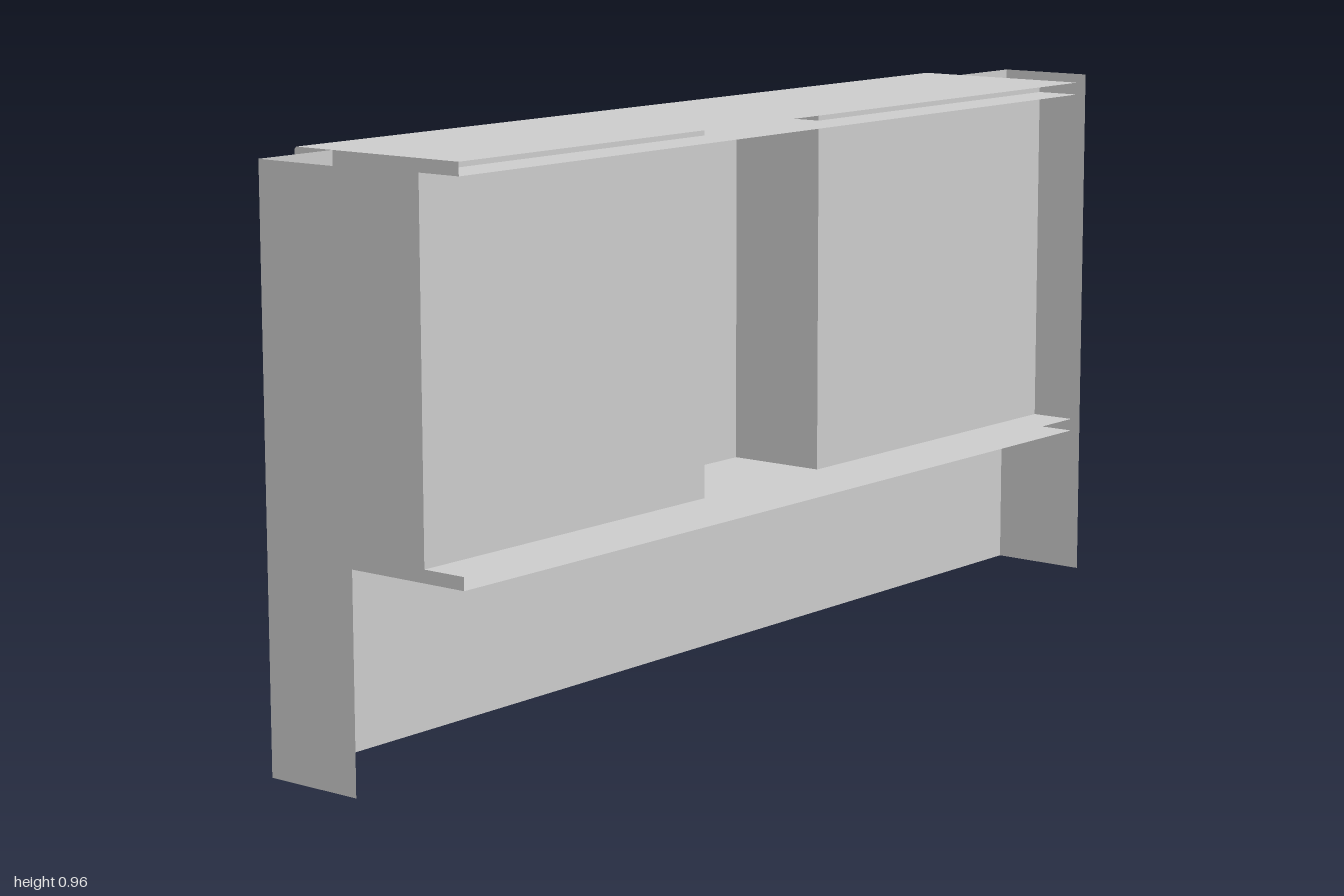
import * as THREE from 'three';

const TOP = 0.96;      // overall height
const SILL = 0.322;    // bottom edge of the opening
const HALF = 0.09;     // half depth of the housing
const OPEN = 0.843;    // half width of the opening
const BAY = 0.157;     // half width of the central bay

const material = new THREE.MeshStandardMaterial({ color: 0xcccccc, side: THREE.DoubleSide, flatShading: true });

function mesh(name, geometry) {
  const m = new THREE.Mesh(geometry, material);
  m.name = name;
  return m;
}

// Thin folded sheet: a polyline in x,y swept along z from 0 to length
function foldedSheet(points, length) {
  const pos = [];
  for (let i = 0; i < points.length - 1; i++) {
    const [ax, ay] = points[i], [bx, by] = points[i + 1];
    pos.push(ax, ay, 0, bx, by, 0, bx, by, length);
    pos.push(ax, ay, 0, bx, by, length, ax, ay, length);
  }
  const g = new THREE.BufferGeometry();
  g.setAttribute('position', new THREE.Float32BufferAttribute(pos, 3));
  g.computeVertexNormals();
  return g;
}

// Sheet folded in plan (x, z) and standing upright between two heights
function uprightSheet(points, y0, y1) {
  return foldedSheet(points, y1 - y0).rotateX(-Math.PI / 2).translate(0, y0, 0);
}

function flatShape(points) {
  return new THREE.ShapeGeometry(new THREE.Shape(points.map(([x, y]) => new THREE.Vector2(x, y))));
}

// Shelf: folded tray with chamfered closed edge at -x, open edge at +x, closed ends
function makeShelf(name, top) {
  const w = 0.172, c = 0.004, bottom = top - 0.022;
  const profile = [
    [w, top], [-w + c, top], [-w, top - c],
    [-w, bottom + c], [-w + c, bottom], [w, bottom],
  ];
  const shelf = new THREE.Group();
  shelf.name = name;
  shelf.add(mesh('shelfSkin', foldedSheet(profile, 2 * OPEN).translate(0, 0, -OPEN)));
  for (const s of [1, -1]) {
    shelf.add(mesh('shelfEnd', flatShape(profile).translate(0, 0, s * OPEN)));
  }
  return shelf;
}

export function createModel() {
  const model = new THREE.Group();
  model.name = 'wallUnit';

  // Outer wall with the large opening cut out of its upper edge
  const wall = flatShape([
    [-1, 0], [1, 0], [1, TOP], [OPEN, TOP], [OPEN, SILL], [-OPEN, SILL], [-OPEN, TOP], [-1, TOP],
  ]).rotateY(Math.PI / 2).translate(-HALF, 0, 0);
  model.add(mesh('outerWall', wall));

  // End returns of the outer wall
  for (const s of [1, -1]) {
    model.add(mesh('endPanel', uprightSheet([[-HALF, s], [HALF, s]], 0, TOP)));
  }

  // Inner wall folded around two deep niches and a central bay
  const plan = [
    [-HALF, OPEN], [HALF, OPEN], [HALF, BAY], [-HALF, BAY],
    [-HALF, -BAY], [HALF, -BAY], [HALF, -OPEN], [-HALF, -OPEN],
  ];
  model.add(mesh('nicheWall', uprightSheet(plan, SILL, TOP - 0.002)));

  model.add(makeShelf('lowerShelf', 0.327));
  model.add(makeShelf('upperShelf', TOP));
  return model;
}
